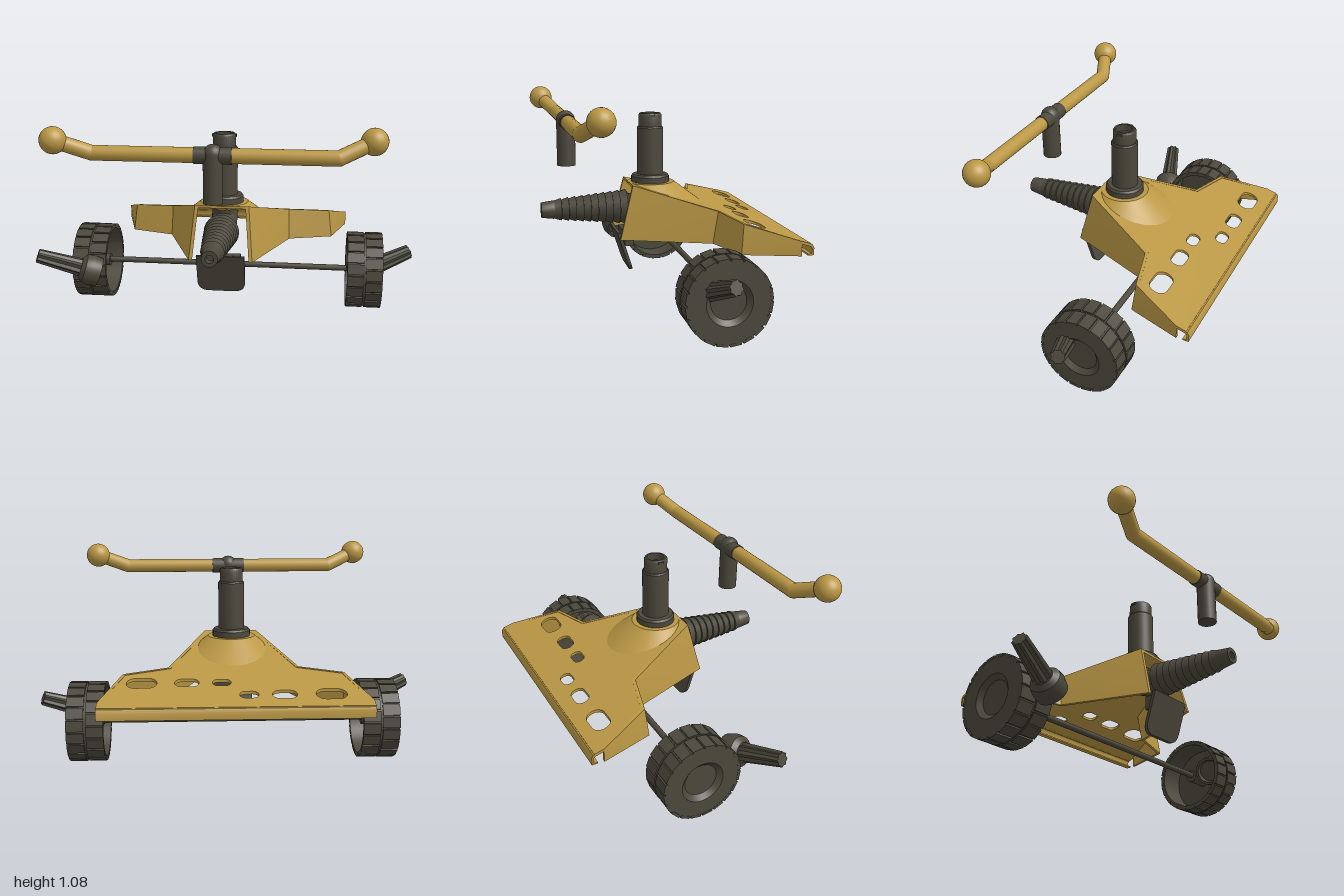
import * as THREE from 'three';
import { toCreasedNormals } from 'three/addons/utils/BufferGeometryUtils.js';

const V = (x, y, z) => new THREE.Vector3(x, y, z);
const ochre = new THREE.MeshStandardMaterial({ color: 0xbb9845, side: THREE.DoubleSide });
ochre.name = 'ochre';
const dark = new THREE.MeshStandardMaterial({ color: 0x4c483c });
dark.name = 'darkGrey';

const crease = (geo, angle = 0.6) => toCreasedNormals(geo, angle);
const lathe = (pts, seg = 32) =>
  crease(new THREE.LatheGeometry(pts.map(p => new THREE.Vector2(p[0], p[1])), seg));

// Height of the sloping deck at depth z
const SLOPE = 0.285;
const deckY = z => 0.628 - SLOPE * (0.16 - z);

export function createModel() {
  const model = new THREE.Group();
  const add = (name, geo, mat, parent = model) => {
    const mesh = new THREE.Mesh(geo, mat);
    mesh.name = name;
    parent.add(mesh);
    return mesh;
  };
  const rod = (name, a, b, r, mat, parent) => {
    const m = add(name, new THREE.CylinderGeometry(r, r, a.distanceTo(b), 20), mat, parent);
    m.position.copy(a).lerp(b, 0.5);
    m.quaternion.setFromUnitVectors(V(0, 1, 0), b.clone().sub(a).normalize());
  };
  const ball = (name, p, r, mat, parent) =>
    add(name, new THREE.SphereGeometry(r, 24, 16), mat, parent).position.copy(p);

  // Deck: slotted flat outline, sheared to the slope
  const half = [[0.655, -0.606], [0.655, -0.555], [0.553, -0.3], [0.33, -0.24], [0.14, 0.16]];
  const outline = [...half, ...half.map(([x, z]) => [-x, z]).reverse()];
  const deck = new THREE.Shape(outline.map(([x, z]) => new THREE.Vector2(x, -z)));
  const slots = [[-0.46, -0.5, 0.15, 0.09], [-0.235, -0.5, 0.12, 0.07], [-0.064, -0.5, 0.092, 0.058],
    [0.064, -0.388, 0.092, 0.058], [0.235, -0.388, 0.12, 0.07], [0.455, -0.388, 0.15, 0.09]];
  for (const [x, z, w, h] of slots) {
    const d = (w - h) / 2, hole = new THREE.Path();
    hole.absarc(x + d, -z, h / 2, -Math.PI / 2, Math.PI / 2);
    hole.absarc(x - d, -z, h / 2, Math.PI / 2, Math.PI * 1.5);
    hole.closePath();
    deck.holes.push(hole);
  }
  const deckGeo = new THREE.ExtrudeGeometry(deck, { depth: 0.015, bevelEnabled: false, curveSegments: 10 });
  deckGeo.rotateX(-Math.PI / 2);
  const dp = deckGeo.attributes.position;
  for (let i = 0; i < dp.count; i++) dp.setY(i, dp.getY(i) - 0.015 + deckY(dp.getZ(i)));
  deckGeo.computeVertexNormals();
  add('deck', deckGeo, ochre);

  // Rolled lip along the rear edge (profile in z, y)
  const lip = new THREE.Shape([[0.6, 0.41], [0.612, 0.405], [0.62, 0.39], [0.62, 0.352], [0.59, 0.352],
    [0.59, 0.36], [0.61, 0.36], [0.61, 0.385], [0.604, 0.394], [0.596, 0.397]]
    .map(p => new THREE.Vector2(...p)));
  const lipGeo = new THREE.ExtrudeGeometry(lip, { depth: 1.31, bevelEnabled: false });
  lipGeo.rotateY(Math.PI / 2).translate(-0.655, 0, 0);
  lipGeo.rotateY(Math.PI).scale(1, 1, 1);
  const lp = lipGeo.attributes.position;
  const backwards = lp.getZ(0) > 0;
  if (backwards) lipGeo.rotateY(Math.PI);
  add('rearLip', crease(lipGeo), ochre);

  // Side skirts: loft of [top x, top z, bottom x, bottom z, inset x, inset z]
  const stations = [[0.655, -0.558, 0.655, -0.558, 0.014, 0], [0.553, -0.3, 0.57, -0.285, 0.013, 0.013],
    [0.33, -0.24, 0.335, -0.212, 0.013, 0.012], [0.14, 0.16, 0.165, 0.23, 0.018, 0]];
  for (const s of [1, -1]) {
    const pos = [], idx = [];
    for (const [tx, tz, bx, bz, ix, iz] of stations) {
      const y = deckY(tz) - 0.001;
      pos.push(s * tx, y, tz, s * bx, 0.35, bz, s * (bx - ix), 0.35, bz - iz, s * (tx - ix), y, tz - iz);
    }
    const quad = (a, b, c, d) => idx.push(...(s > 0 ? [a, b, c, a, c, d] : [a, c, b, a, d, c]));
    for (let i = 0; i < 3; i++) for (let j = 0; j < 4; j++) {
      const k = (j + 1) % 4;
      quad(i * 4 + j, i * 4 + 4 + j, i * 4 + 4 + k, i * 4 + k);
    }
    quad(0, 1, 2, 3);
    quad(15, 14, 13, 12);
    const g = new THREE.BufferGeometry();
    g.setAttribute('position', new THREE.Float32BufferAttribute(pos, 3));
    g.setIndex(idx);
    add(s > 0 ? 'leftSkirt' : 'rightSkirt', crease(g, 0.3), ochre);
  }

  // Conical boss under the mast, its foot following the deck
  const K = 1.36;
  const boss = new THREE.CylinderGeometry(0.125, 0.2, 1, 48, 1, true);
  const bp = boss.attributes.position;
  for (let i = 0; i < bp.count; i++) {
    const a = Math.atan2(bp.getX(i), bp.getZ(i)), c = Math.cos(a);
    const top = bp.getY(i) > 0;
    const r = top ? 0.125 : (0.125 + 0.031 * K) / (1 + SLOPE * K * c);
    bp.setXYZ(i, r * Math.sin(a), top ? 0.625 : deckY(0.04 + r * c) - 0.002, 0.04 + r * c);
  }
  boss.computeVertexNormals();
  add('mastBoss', boss, ochre);
  const cap = add('bossTop', new THREE.CircleGeometry(0.125, 48).rotateX(-Math.PI / 2), ochre);
  cap.position.set(0, 0.625, 0.04);

  // Mast with flange and open socket
  add('mast', lathe([[0, 0.61], [0.1, 0.61], [0.1, 0.655], [0.092, 0.665], [0.069, 0.667], [0.069, 0.91],
    [0.064, 0.917], [0.06, 0.917], [0.06, 0.978], [0.054, 0.987], [0.044, 0.987], [0.044, 0.95], [0, 0.95]]),
  dark).position.z = 0.04;
  for (const s of [1, -1])
    add('mastLug', new THREE.BoxGeometry(0.012, 0.012, 0.03), dark).position.set(s * 0.058, 0.975, 0.04);

  // Elbow pipe and ribbed nozzle
  const bend = new THREE.CubicBezierCurve3(V(0, 0.6, 0.03), V(0, 0.51, 0.01), V(0, 0.492, 0.06), V(0, 0.492, 0.2));
  add('elbowPipe', new THREE.TubeGeometry(bend, 20, 0.068, 20), dark);
  const prof = [[0, 0.16], [0.07, 0.16]];
  const ribs = 10, z0 = 0.175, z1 = 0.555;
  for (let i = 0; i < ribs; i++) {
    const a = z0 + (z1 - z0) * i / ribs, b = z0 + (z1 - z0) * (i + 1) / ribs;
    const R = 0.088 - 0.037 * i / ribs;
    prof.push([R + 0.004, a], [R - 0.008, b - 0.002]);
  }
  prof.push([0.048, 0.557], [0.04, 0.62], [0.02, 0.62], [0.02, 0.58], [0, 0.58]);
  add('ribbedNozzle', lathe(prof, 24).rotateX(Math.PI / 2), dark).position.y = 0.492;

  // Slanted flap below the nozzle
  const w = 0.125, fl = new THREE.Shape();
  fl.moveTo(-w, 0.378);
  fl.lineTo(-w, 0.225);
  fl.quadraticCurveTo(-w, 0.168, -w + 0.06, 0.168);
  fl.lineTo(w - 0.06, 0.168);
  fl.quadraticCurveTo(w, 0.168, w, 0.225);
  fl.lineTo(w, 0.378);
  const flap = new THREE.ExtrudeGeometry(fl, { depth: 0.018, bevelEnabled: false });
  const fp = flap.attributes.position;
  for (let i = 0; i < fp.count; i++) fp.setZ(i, fp.getZ(i) + 0.155 + (fp.getY(i) - 0.168) * 0.32);
  flap.computeVertexNormals();
  add('frontFlap', flap, dark);
  add('flapHinge', new THREE.BoxGeometry(0.2, 0.07, 0.045), dark).position.set(0, 0.335, 0.175);

  // Axle and open-backed wheels with staggered tread blocks
  rod('axle', V(-0.82, 0.213, -0.142), V(0.82, 0.213, -0.142), 0.016, dark);
  for (const s of [1, -1]) {
    const wheel = new THREE.Group();
    wheel.name = s > 0 ? 'leftWheel' : 'rightWheel';
    wheel.position.set(0, 0.209, -0.142);
    add('wheelBody', lathe([[0, 0.68], [0.035, 0.68], [0.035, 0.8], [0.183, 0.8], [0.183, 0.657], [0.199, 0.657],
      [0.199, 0.842], [0.11, 0.842], [0.085, 0.82], [0, 0.82]], 48).rotateZ(-s * Math.PI / 2), dark, wheel);
    for (const row of [0, 1]) for (let i = 0; i < 20; i++) {
      const a = (i + row / 2) / 20 * Math.PI * 2;
      const block = add('treadBlock', new THREE.BoxGeometry(0.088, 0.014, 0.055), dark, wheel);
      block.position.set(s * (0.7 + row * 0.099), Math.cos(a) * 0.199, Math.sin(a) * 0.199);
      block.rotation.x = a;
    }
    model.add(wheel);
  }

  // Fluted side handles on hollow cups, the second turned half round
  for (const s of [1, -1]) {
    const side = new THREE.Group(), handle = new THREE.Group();
    side.name = s > 0 ? 'rightSideHandle' : 'leftSideHandle';
    handle.name = 'handle';
    handle.position.set(-0.73, 0.23, 0.105);
    handle.quaternion.setFromUnitVectors(V(0, 1, 0), V(-0.26, 0.1, 0.088).normalize());
    add('cup', lathe([[0, -0.02], [0.058, -0.02], [0.064, -0.05], [0.078, -0.05], [0.084, 0],
      [0.076, 0.035], [0.05, 0.055], [0, 0.055]], 28), dark, handle);
    const grip = new THREE.CylinderGeometry(0.038, 0.05, 0.245, 16, 1);
    const gp = grip.attributes.position;
    for (let i = 0; i < gp.count; i++) {
      const n = Math.round(Math.atan2(gp.getX(i), gp.getZ(i)) / (Math.PI / 8)) + 16;
      const f = n % 2 ? 0.8 : 1;
      gp.setX(i, gp.getX(i) * f);
      gp.setZ(i, gp.getZ(i) * f);
    }
    add('grip', crease(grip, 0.2), dark, handle).position.y = 0.167;
    side.add(handle);
    if (s < 0) {
      side.rotation.y = Math.PI;
      side.position.z = 0.07;
    }
    model.add(side);
  }

  // Handlebar on its separate stem, ends swept opposite ways
  const bar = new THREE.Group();
  bar.name = 'handlebar';
  const by = 0.953, bz = 0.48;
  rod('bar', V(-0.58, by, bz), V(0.58, by, bz), 0.037, ochre, bar);
  for (const s of [1, -1]) {
    const kink = V(s * 0.58, by, bz), end = V(s * 0.742, 1.021, bz - s * 0.068);
    rod('barEnd', kink, end, 0.037, ochre, bar);
    ball('barBend', kink, 0.037, ochre, bar);
    ball('barKnob', end, 0.065, ochre, bar);
  }
  rod('barCollar', V(-0.09, by, bz), V(0.09, by, bz), 0.041, dark, bar);
  rod('stem', V(0, 0.725, bz + 0.003), V(0, 0.96, bz + 0.003), 0.048, dark, bar);
  ball('stemCap', V(0, 0.96, bz + 0.003), 0.048, dark, bar);
  model.add(bar);
  return model;
}
